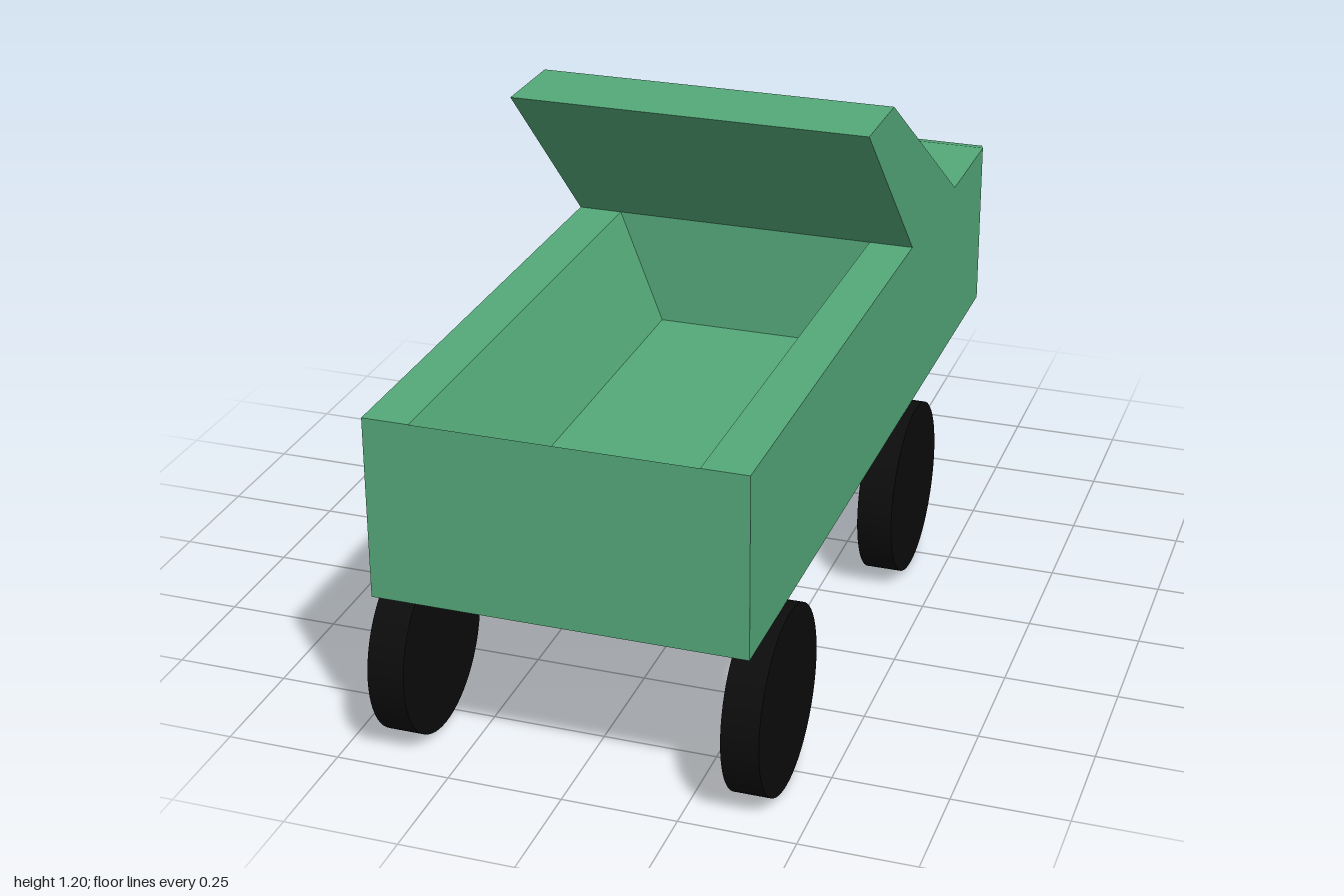
import * as THREE from 'three';

const W = 0.4, LOW = 0.4, TOP = 0.8;   // body half width, underside, top edge
const CAB_Z = -0.2, NOSE_R = 0.11;     // rear wall of the bed, nose rounding

const paint = new THREE.MeshStandardMaterial({ color: 0x55a97a, flatShading: true });
const sheet = new THREE.MeshStandardMaterial({ color: 0x55a97a, flatShading: true, side: THREE.DoubleSide });
const rubber = new THREE.MeshStandardMaterial({ color: 0x0c0c0c });

const shapeOf = (pts) => new THREE.Shape(pts.map(([x, y]) => new THREE.Vector2(x, y)));

function named(name, geometry, material) {
  const mesh = new THREE.Mesh(geometry, material);
  mesh.name = name;
  return mesh;
}

// Closed block of rectangular rings that shrink along a quarter circle at the far end
function noseGeometry() {
  const rings = [[0, CAB_Z]];
  for (let i = 0; i <= 3; i++) {
    const a = (i / 3) * Math.PI / 2;
    rings.push([NOSE_R * (1 - Math.cos(a)), -1 + NOSE_R - NOSE_R * Math.sin(a)]);
  }
  const pos = [], idx = [];
  for (const [inset, z] of rings) {
    const x = W - inset, y0 = LOW + inset, y1 = TOP - inset;
    pos.push(x, y1, z, -x, y1, z, -x, y0, z, x, y0, z);
  }
  for (let i = 0; i < rings.length - 1; i++) {
    for (let j = 0; j < 4; j++) {
      const a = i * 4 + j, b = i * 4 + (j + 1) % 4;
      idx.push(a, b + 4, b, a, a + 4, b + 4);
    }
  }
  const e = (rings.length - 1) * 4;
  idx.push(0, 1, 2, 0, 2, 3, e, e + 2, e + 1, e, e + 3, e + 2);
  const g = new THREE.BufferGeometry();
  g.setAttribute('position', new THREE.Float32BufferAttribute(pos, 3));
  g.setIndex(idx);
  const flat = g.toNonIndexed();
  flat.computeVertexNormals();
  return flat;
}

export function createModel() {
  const model = new THREE.Group();
  model.name = 'truck';

  model.add(named('nose', noseGeometry(), paint));

  // Open bed with sloping inner walls
  const trough = [[-0.3, TOP], [-0.2, 0.54], [0.2, 0.54], [0.3, TOP]];
  const section = shapeOf([[-W, LOW], [W, LOW], [W, TOP], ...[...trough].reverse(), [-W, TOP]]);
  const bed = named('bed', new THREE.ExtrudeGeometry(section, { depth: 1 - CAB_Z, bevelEnabled: false }), paint);
  bed.position.z = CAB_Z;
  model.add(bed);

  // Thin panel closing the end of the bed
  const gate = named('endPanel', new THREE.ShapeGeometry(shapeOf(trough)), sheet);
  gate.position.z = 1;
  model.add(gate);

  // Slanted canopy: profile drawn with -z as its horizontal axis
  const profile = shapeOf([[0.2, TOP], [0.6, TOP], [0, 1.2], [-0.2, 1.2]]);
  const canopy = named('canopy', new THREE.ExtrudeGeometry(profile, { depth: 2 * W, bevelEnabled: false }), paint);
  canopy.rotation.y = Math.PI / 2;
  canopy.position.x = -W;
  model.add(canopy);

  // Wheels
  const disc = new THREE.CylinderGeometry(0.2, 0.2, 0.08, 64).rotateZ(Math.PI / 2);
  for (const side of [1, -1]) {
    for (const [end, z] of [['front', 0.8], ['rear', -0.2]]) {
      const wheel = named(`${end}${side > 0 ? 'Left' : 'Right'}Wheel`, disc, rubber);
      wheel.position.set(side * 0.38, 0.2, z);
      model.add(wheel);
    }
  }
  return model;
}
